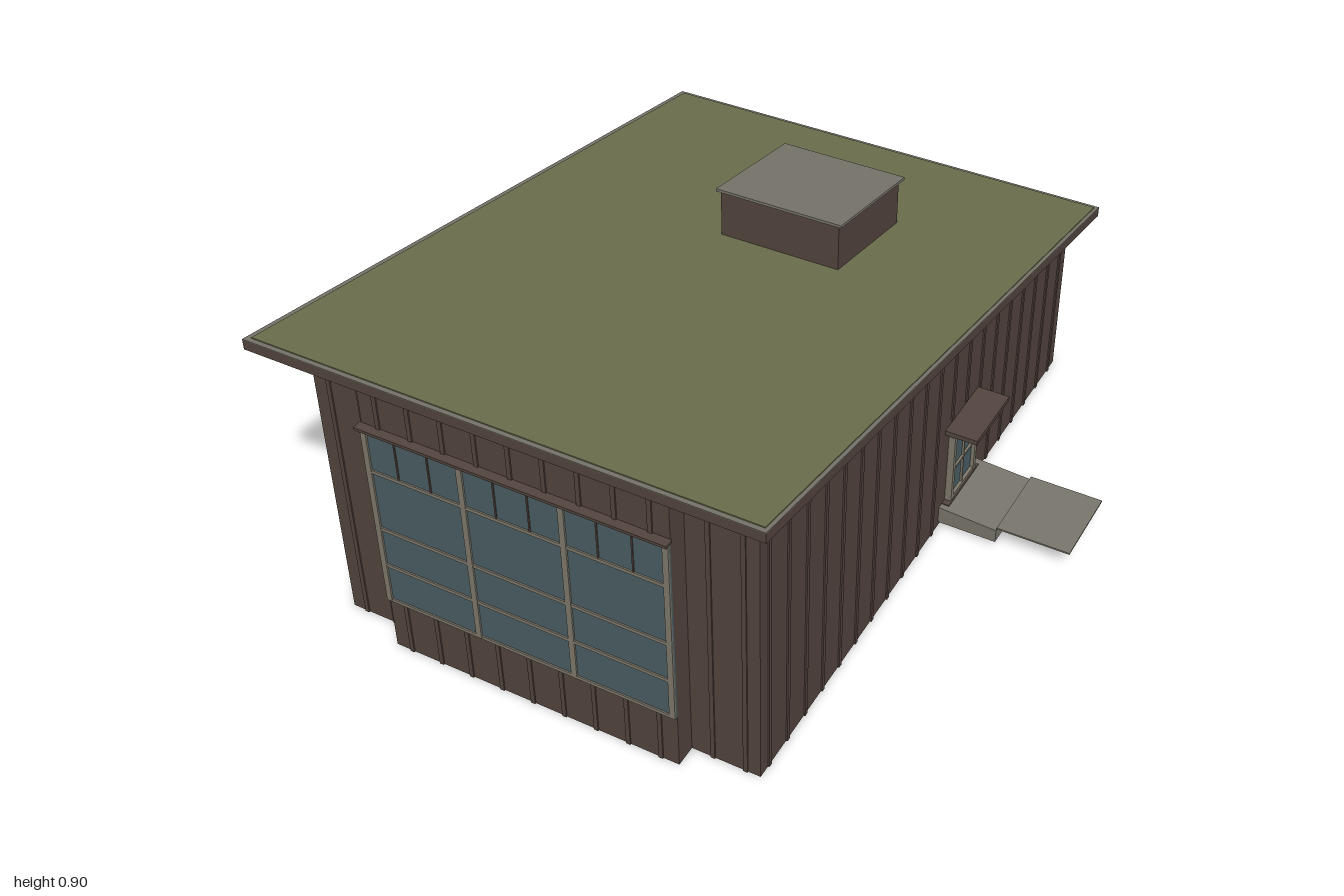
import * as THREE from 'three';

const mat = (name, color) => {
  const m = new THREE.MeshStandardMaterial({ color });
  m.name = name;
  return m;
};

export function createModel() {
  const house = new THREE.Group();
  house.name = 'shedRoofHouse';
  const siding = mat('brownSiding', 0x54453f);
  const green = mat('greenRoof', 0x70734f);
  const grey = mat('greyMetal', 0x7a776d);
  const trim = mat('windowTrim', 0x807a6c);
  const glass = mat('glass', 0x4a5f64);

  // Roof planes, falling towards the back
  const under = z => 0.697 + 0.175 * z;
  const roofTop = z => 0.725 + 0.175 * z;
  const lift = (f, d) => z => f(z) + d;

  // Box given by its limits; y limits may be numbers or functions of z
  function block(name, m, x0, x1, y0, y1, z0, z1, parent = house) {
    const at = (y, z) => (typeof y === 'function' ? y(z) : y);
    const g = new THREE.BoxGeometry(1, 1, 1);
    const p = g.attributes.position;
    for (let i = 0; i < p.count; i++) {
      const z = p.getZ(i) > 0 ? z1 : z0;
      p.setXYZ(i, p.getX(i) > 0 ? x1 : x0, at(p.getY(i) > 0 ? y1 : y0, z), z);
    }
    g.computeVertexNormals();
    const mesh = new THREE.Mesh(g, m);
    mesh.name = name;
    parent.add(mesh);
    return mesh;
  }

  // Walls and projecting front bay
  block('walls', siding, -0.745, 0.47, 0, under, -0.95, 0.9);
  block('frontBay', siding, -0.56, 0.28, 0, under, 0.9, 0.96);

  // Vertical battens on the side, back and front walls
  const battens = new THREE.Group();
  battens.name = 'battens';
  house.add(battens);
  const w = 0.006, d = 0.004, step = 0.0925;
  for (let z = -0.9; z < 0.89; z += step) {
    const atDoor = z > -0.33 && z < -0.12;
    block('leftBatten', siding, 0.47, 0.47 + d, atDoor ? 0.34 : 0, under, z - w, z + w, battens);
    block('rightBatten', siding, -0.745 - d, -0.745, atDoor ? 0.29 : 0, under, z - w, z + w, battens);
  }
  for (let x = -0.7; x < 0.46; x += step) {
    const atDoor = x > 0.07 && x < 0.25;
    block('backBatten', siding, x - w, x + w, atDoor ? 0.29 : 0, under, -0.95 - d, -0.95, battens);
  }
  for (const x of [-0.7, -0.61, 0.34, 0.43])
    block('frontBatten', siding, x - w, x + w, 0, under, 0.9, 0.9 + d, battens);
  for (let i = 0; i < 9; i++) {
    const x = -0.51 + i * step;
    block('bayLowerBatten', siding, x - w, x + w, 0, 0.165, 0.96, 0.96 + d, battens);
    block('bayUpperBatten', siding, x - w, x + w, 0.735, under, 0.96, 0.96 + d, battens);
  }

  // Roof slab, metal edge and green covering
  block('roofSlab', siding, -0.85, 0.54, under, roofTop, -1, 1);
  block('roofEdge', grey, -0.85, 0.54, roofTop, lift(roofTop, 0.002), -1, 1);
  block('roofCover', green, -0.835, 0.53, lift(roofTop, 0.002), lift(roofTop, 0.005), -0.985, 0.985);

  // Roof box with its cap
  block('roofBox', siding, -0.235, 0.115, roofTop, lift(roofTop, 0.142), -0.535, -0.172);
  block('roofBoxCap', grey, -0.245, 0.125, lift(roofTop, 0.142), lift(roofTop, 0.15), -0.55, -0.163);

  // Large front window
  const win = new THREE.Group();
  win.name = 'frontWindow';
  house.add(win);
  block('frontGlass', glass, -0.56, 0.28, 0.168, 0.725, 0.96, 0.966, win);
  for (const x of [-0.552, -0.28, -0.002, 0.272])
    block('mullion', trim, x - 0.008, x + 0.008, 0.168, 0.725, 0.962, 0.971, win);
  for (const y of [0.172, 0.292, 0.413, 0.597, 0.72])
    block('glazingBar', trim, -0.56, 0.28, y - 0.005, y + 0.005, 0.962, 0.97, win);
  for (const x of [-0.465, -0.372, -0.187, -0.094, 0.091, 0.184])
    block('upperSlat', siding, x - 0.002, x + 0.002, 0.602, 0.716, 0.964, 0.969, win);
  block('windowHead', siding, -0.565, 0.285, 0.729, 0.737, 0.96, 0.985, win);

  // Glazed side door
  const door = new THREE.Group();
  door.name = 'sideDoor';
  house.add(door);
  block('doorGlass', glass, 0.47, 0.479, 0.065, 0.285, -0.31, -0.15, door);
  for (const z of [-0.304, -0.156])
    block('doorJamb', trim, 0.47, 0.489, 0.065, 0.288, z - 0.007, z + 0.007, door);
  for (const y of [0.072, 0.282])
    block('doorRail', trim, 0.47, 0.488, y - 0.006, y + 0.006, -0.31, -0.15, door);
  block('doorCrossBar', trim, 0.478, 0.486, 0.167, 0.173, -0.304, -0.156, door);
  block('doorCentreBar', trim, 0.478, 0.485, 0.072, 0.282, -0.232, -0.228, door);
  block('doorSill', siding, 0.47, 0.492, 0.06, 0.067, -0.33, -0.13, door);
  block('doorCanopy', siding, 0.47, 0.562, 0.317, 0.331, -0.335, -0.12, door);

  // Landing with a slightly sloping top, and a thin plate beyond it
  const landing = block('landing', grey, 0.47, 0.64, 0.013, 0.065, -0.352, -0.112);
  const p = landing.geometry.attributes.position;
  for (let i = 0; i < p.count; i++)
    if (p.getX(i) > 0.6 && p.getY(i) > 0.05) p.setY(i, 0.054);
  landing.geometry.computeVertexNormals();
  block('landingPlate', grey, 0.64, 0.85, 0.057, 0.062, -0.355, -0.115);

  // Plain doors on the far side and the back
  block('farSideDoor', siding, -0.752, -0.745, 0.07, 0.275, -0.24, -0.1);
  block('backDoor', siding, 0.09, 0.23, 0.06, 0.265, -0.957, -0.95);

  return house;
}
